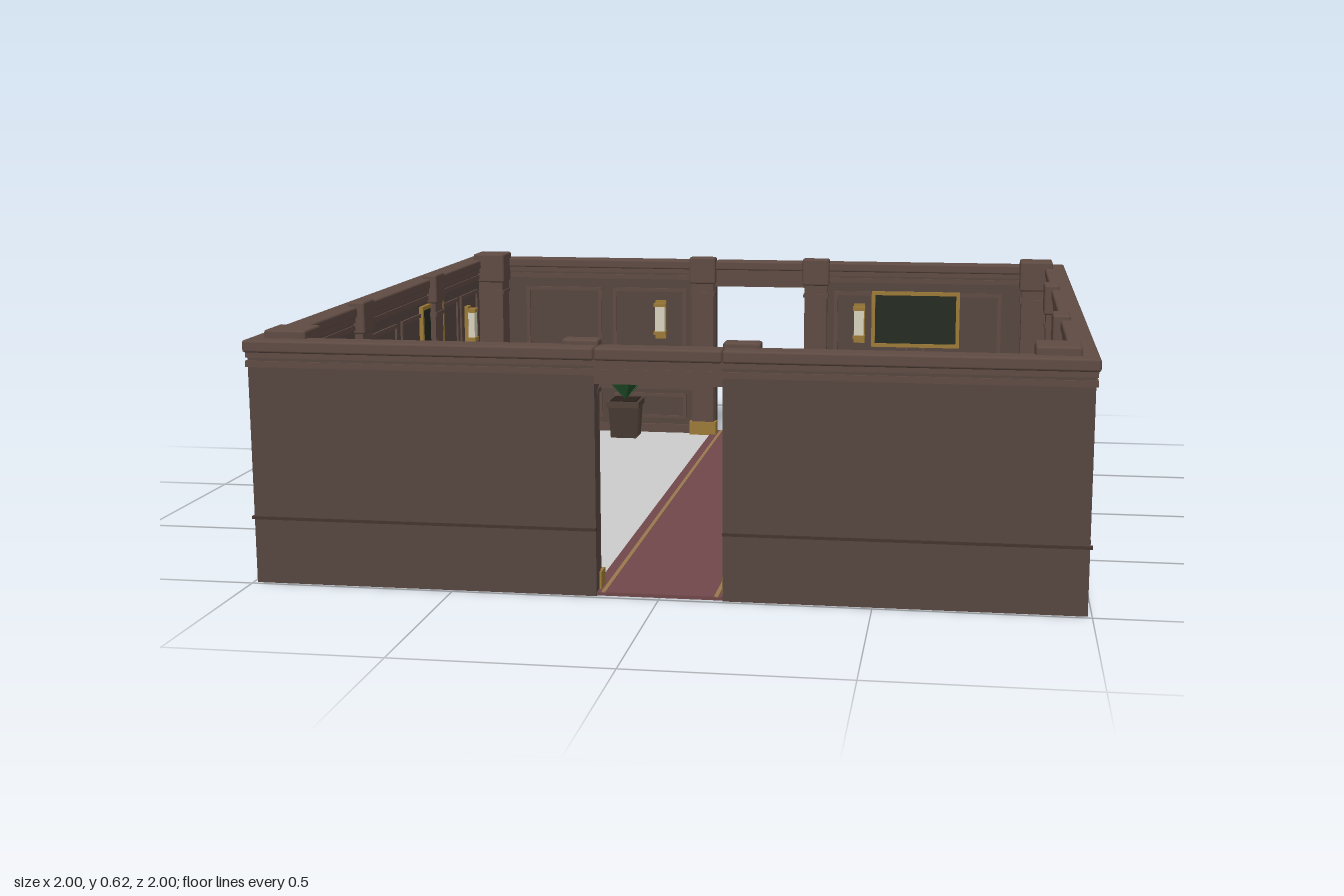
import * as THREE from 'three';
import { RoundedBoxGeometry } from 'three/addons/geometries/RoundedBoxGeometry.js';

const mat = (color, extra = {}) => new THREE.MeshStandardMaterial({ color, ...extra });
const M = {
  wall: mat(0x564640), trim: mat(0x5f4b43), dark: mat(0x44342e), floor: mat(0xcccccc),
  carpet: mat(0x70474a), stripe: mat(0x9a7650), brass: mat(0x9c7a38), board: mat(0x262b22),
  glass: mat(0xd8d2bc), table: mat(0x6b4840), pot: mat(0x4f4038), soil: mat(0x2a211c),
  leaf: mat(0x2f6b3a, { side: THREE.DoubleSide, flatShading: true }),
  leafDark: mat(0x234f2c, { side: THREE.DoubleSide, flatShading: true }),
};

function add(parent, name, geometry, material, x = 0, y = 0, z = 0) {
  const mesh = new THREE.Mesh(geometry, material);
  mesh.name = name;
  mesh.position.set(x, y, z);
  parent.add(mesh);
  return mesh;
}

// Box given by its limits on each axis
function box(parent, name, material, [x0, x1], [y0, y1], [z0, z1], bevel = 0) {
  const s = [x1 - x0, y1 - y0, z1 - z0];
  const g = bevel ? new RoundedBoxGeometry(...s, 1, bevel) : new THREE.BoxGeometry(...s);
  return add(parent, name, g, material, (x0 + x1) / 2, (y0 + y1) / 2, (z0 + z1) / 2);
}

function group(parent, name, x = 0, y = 0, z = 0) {
  const g = new THREE.Group();
  g.name = name;
  g.position.set(x, y, z);
  parent.add(g);
  return g;
}

const OUT = 0.99, IN = 0.945; // outer and inner wall faces

// Rectangular frame standing off the inner wall face
function frame(parent, name, material, [u0, u1], [y0, y1], t, depth) {
  const shape = new THREE.Shape([[u0, y0], [u1, y0], [u1, y1], [u0, y1]].map(p => new THREE.Vector2(...p)));
  shape.holes.push(new THREE.Path([[u0 + t, y0 + t], [u0 + t, y1 - t], [u1 - t, y1 - t], [u1 - t, y0 + t]]
    .map(p => new THREE.Vector2(...p))));
  add(parent, name, new THREE.ExtrudeGeometry(shape, { depth, bevelEnabled: false }), material, 0, 0, IN - depth);
}

// Stretch of wall with trims on both faces; "ends" is how far it runs at each end
function wallRun(wall, [a, b], [c, d]) {
  box(wall, 'wallBody', M.wall, [a, b], [0, 0.57], [IN, OUT]);
  box(wall, 'outerRail', M.dark, [c, d], [0.158, 0.165], [OUT - 0.01, OUT + 0.004]);
  box(wall, 'innerRail', M.trim, [a, b], [0.155, 0.172], [IN - 0.008, IN + 0.01]);
  box(wall, 'skirting', M.trim, [a, b], [0, 0.035], [IN - 0.007, IN + 0.01]);
}

function panels(wall, spans) {
  for (const span of spans) {
    frame(wall, 'upperPanel', M.trim, span, [0.2, 0.5], 0.012, 0.006);
    frame(wall, 'lowerPanel', M.trim, span, [0.055, 0.14], 0.01, 0.005);
  }
}

// Column with brass foot and block capital
function column(parent, name, x, z, w, d, top) {
  const g = group(parent, name, x, 0, z);
  const block = (n, m, gx, y0, y1, bevel) => box(g, n, m,
    [-w / 2 + gx, w / 2 - gx], [y0, y1], [-d / 2 + gx, d / 2 - gx], bevel);
  block('brassFoot', M.brass, -0.001, 0, 0.05);
  block('shaft', M.trim, 0.007, 0.05, 0.54);
  block('capital', M.trim, 0, 0.52, top, 0.006);
  block('neckRing', M.trim, 0.003, 0.48, 0.492);
}

function sconce(wall, u) {
  const g = group(wall, 'sconce', u, 0.395, IN);
  box(g, 'backPlate', M.brass, [-0.018, 0.018], [-0.065, 0.065], [-0.012, 0]);
  box(g, 'lampGlass', M.glass, [-0.016, 0.016], [-0.04, 0.045], [-0.033, -0.01]);
  for (const y of [-0.05, 0.045])
    box(g, 'lampHolder', M.brass, [-0.02, 0.02], [y, y + 0.012], [-0.036, -0.008]);
}

function picture(wall, u, y, w, h) {
  box(wall, 'pictureBoard', M.board, [u - w / 2 + 0.005, u + w / 2 - 0.005], [y - h / 2 + 0.005, y + h / 2 - 0.005], [IN - 0.007, IN]);
  frame(wall, 'pictureFrame', M.brass, [u - w / 2, u + w / 2], [y - h / 2, y + h / 2], 0.012, 0.012);
}

// Folded pointed leaf, growing along +z and rising
function leafGeometry(length, width, rise) {
  const g = new THREE.BufferGeometry();
  const m = length * 0.5, y = rise * 0.75;
  g.setAttribute('position', new THREE.Float32BufferAttribute([
    0, 0, 0, -width / 2, y + width * 0.2, m, 0, y, m, width / 2, y + width * 0.2, m, 0, rise, length], 3));
  g.setIndex([0, 1, 2, 0, 2, 3, 1, 4, 2, 2, 4, 3]);
  g.computeVertexNormals();
  return g;
}

function plant(parent, name, x, y, z, potSize, potHeight, reach, rise) {
  const g = group(parent, name, x, y, z);
  const p = potSize / 2;
  const pot = add(g, 'pot', new THREE.CylinderGeometry(p * 1.3, p * 1.1, potHeight, 4), M.pot, 0, potHeight / 2, 0);
  pot.rotation.y = Math.PI / 4;
  box(g, 'potRim', M.pot, [-p, p], [potHeight * 0.85, potHeight], [-p, p]);
  box(g, 'soil', M.soil, [-p * 0.8, p * 0.8], [potHeight, potHeight + 0.003], [-p * 0.8, p * 0.8]);
  for (let ring = 0; ring < 3; ring++) {
    const n = 7 - ring, r = reach * [1, 0.75, 0.4][ring];
    for (let i = 0; i < n; i++) {
      const size = r * (0.9 + 0.1 * Math.cos(i * 2.4 + ring));
      const leaf = add(g, 'leaf', leafGeometry(size, reach * 0.42, rise * [0.5, 0.8, 1][ring]),
        (i + ring) % 2 ? M.leafDark : M.leaf, 0, potHeight, 0);
      leaf.rotation.y = (i / n) * Math.PI * 2 + ring * 0.4;
    }
  }
}

export function createModel() {
  const room = new THREE.Group();
  room.name = 'room';

  // Floor and carpet runner
  for (const s of [-1, 1])
    box(room, 'floor', M.floor, [Math.min(s * 0.165, s * 0.95), Math.max(s * 0.165, s * 0.95)], [0.001, 0.006], [-0.95, 0.95]);
  box(room, 'carpet', M.carpet, [-0.165, 0.165], [0.0005, 0.009], [-0.985, 0.985]);
  for (const s of [-1, 1])
    box(room, 'carpetStripe', M.stripe, [s * 0.135 - 0.005, s * 0.135 + 0.005], [0.008, 0.0105], [-0.985, 0.985]);

  // Four walls, each built facing +z and turned into place
  const names = ['frontWall', 'rightHandWall', 'backWall', 'leftHandWall'];
  const walls = names.map((name, i) => {
    const wall = group(room, name);
    wall.rotation.y = i * Math.PI / 2;
    const hasDoor = i % 2 === 0;
    const end = hasDoor ? OUT : IN;
    if (hasDoor) {
      wallRun(wall, [-end, -0.15], [-0.996, -0.15]);
      wallRun(wall, [0.15, end], [0.15, 0.996]);
      box(wall, 'doorLintel', M.trim, [-0.15, 0.15], [0.51, 0.585], [IN - 0.004, OUT + 0.002]);
      for (const s of [-1, 1]) {
        column(wall, 'doorPilaster', s * 0.19, 0.935, 0.088, 0.045, 0.608);
        panels(wall, [[-0.8, -0.54], [-0.5, -0.25]].map(([a, b]) => s < 0 ? [a, b] : [-b, -a]));
      }
    } else {
      wallRun(wall, [-end, end], [-end, end]);
      for (const s of [-1, 1]) column(wall, 'wallPilaster', s * 0.33, 0.9375, 0.09, 0.045, 0.608);
      panels(wall, [[-0.83, -0.63], [-0.6, -0.4], [-0.26, -0.02], [0.02, 0.26], [0.4, 0.6], [0.63, 0.83]]);
    }
    // Stepped cornice and coping
    const e = hasDoor ? 0.995 : 0.94;
    box(wall, 'corniceLower', M.trim, [-e, e], [0.53, 0.545], [IN - 0.004, OUT + 0.004]);
    box(wall, 'corniceUpper', M.trim, [-e, e], [0.552, 0.57], [IN - 0.006, OUT + 0.002]);
    const cuts = hasDoor ? [-1, -0.15, 0.15, 1] : [-0.94, 0.94];
    for (let k = 0; k + 1 < cuts.length; k++)
      box(wall, 'coping', M.trim, [cuts[k], cuts[k + 1]], [0.565, 0.595], [0.935, 1], 0.006);
    return wall;
  });
  for (const x of [-0.908, 0.908])
    for (const z of [-0.908, 0.908]) column(room, 'cornerColumn', x, z, 0.104, 0.104, 0.615);

  // Wall lamps and framed boards
  const [front, right, back, left] = walls;
  [[front, -0.335, 0.33], [right, 0.15, -0.465], [back, 0.335, -0.335], [left, -0.7, 0.14]]
    .forEach(([wall, ...us]) => us.forEach(u => sconce(wall, u)));
  picture(back, -0.52, 0.41, 0.29, 0.185);
  picture(right, -0.15, 0.41, 0.22, 0.22);
  picture(left, -0.31, 0.4, 0.22, 0.24);

  // Side table with a small plant and a lamp
  const table = group(room, 'sideTable', 0.4925, 0, -0.885);
  box(table, 'tableTop', M.table, [-0.1925, 0.1925], [0.182, 0.2], [-0.05, 0.05]);
  box(table, 'tableApron', M.table, [-0.175, 0.175], [0.15, 0.182], [-0.042, 0.042]);
  box(table, 'tableShelf', M.table, [-0.175, 0.175], [0.05, 0.06], [-0.04, 0.04]);
  for (const x of [-0.168, 0.168])
    for (const z of [-0.035, 0.035])
      box(table, 'tableLeg', M.table, [x - 0.009, x + 0.009], [0, 0.16], [z - 0.009, z + 0.009]);
  plant(table, 'smallPlant', -0.137, 0.2, -0.01, 0.03, 0.025, 0.046, 0.035);
  const profile = [[0, 0], [0.028, 0], [0.028, 0.008], [0.01, 0.012], [0.01, 0.02], [0.031, 0.024], [0.026, 0.045], [0.014, 0.05], [0, 0.05]];
  add(table, 'tableLamp', new THREE.LatheGeometry(profile.map(p => new THREE.Vector2(...p)), 16), M.glass, 0.082, 0.2, -0.01);

  // Large potted plant
  plant(room, 'pottedPlant', -0.445, 0, -0.865, 0.11, 0.13, 0.115, 0.15);
  return room;
}
